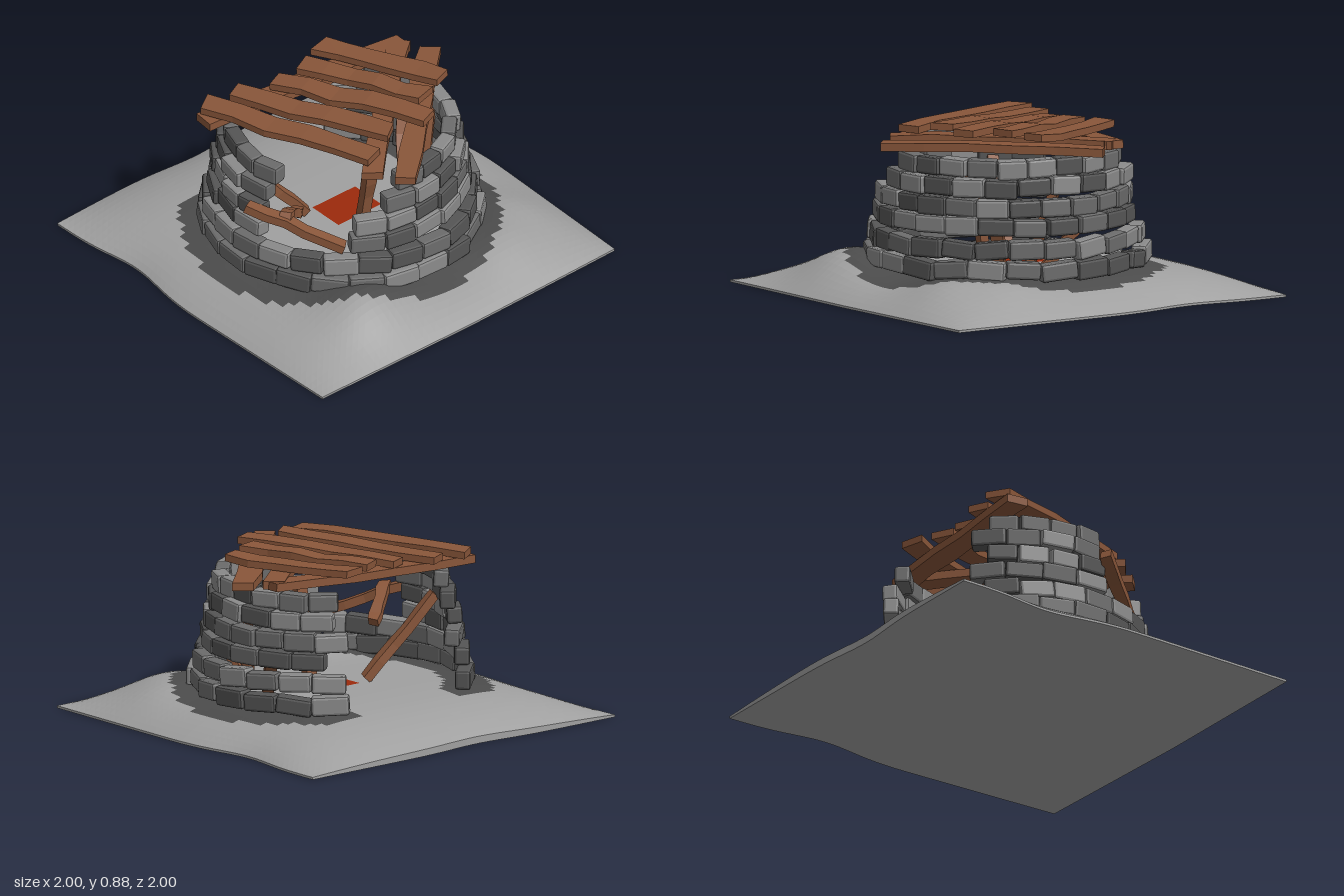
import * as THREE from 'three';
import { RoundedBoxGeometry } from 'three/addons/geometries/RoundedBoxGeometry.js';

const mat = (name, color) => {
  const m = new THREE.MeshStandardMaterial({ color, flatShading: true });
  m.name = name;
  return m;
};

// small seeded noise in -1..1
let seed = 7;
const rnd = () => {
  seed = (seed * 16807) % 2147483647;
  return (seed / 2147483647) * 2 - 1;
};
const bump = (x, z, cx, cz, w) => Math.exp(-((x - cx) ** 2 + (z - cz) ** 2) / (w * w));

// height of the earth mound: a flat floor, falling to the edges, with swells
function height(x, z) {
  const f = (u) => 1 - Math.pow(Math.abs(u), 4.2);
  const edge = 0.012 + 0.025 * Math.max(0, -z) ** 6 * (1 - x * x);
  const swell = 0.11 * bump(x, z, -0.42, 0.72, 0.25) + 0.045 * bump(x, z, 0.5, 0.74, 0.2)
    + 0.04 * bump(x, z, 0.74, 0.5, 0.2) - 0.02 * bump(x, z, 0.08, 0.74, 0.18);
  return edge + (0.148 + swell) * f(x) * f(z);
}

// square mound with dark footing under the wall and a red patch in the middle
function buildGround(mats) {
  const g = new THREE.Group();
  g.name = 'ground';
  const box = new THREE.BoxGeometry(2, 1, 2, 50, 1, 50);
  const p = box.attributes.position, cells = [[], [], []], idx = box.index.array;
  for (let i = 0; i < idx.length; i += 6) {
    const b = idx[i + 1], d = idx[i + 2];
    const x = (p.getX(b) + p.getX(d)) / 2, z = (p.getZ(b) + p.getZ(d)) / 2;
    const top = p.getY(b) + p.getY(d) > 0.9, r = Math.hypot(x, z);
    let k = 0;
    if (top && r > 0.56 && r < 0.8 && z > -0.62 && (z > -0.4 || Math.abs(x) > 0.31)) k = 1;
    if (top && x > -0.09 && x < 0.19 && z > -0.13 && z < 0.09) k = 2;
    cells[k].push(...idx.slice(i, i + 6));
  }
  for (let i = 0; i < p.count; i++) {
    const x = p.getX(i), z = p.getZ(i);
    const y = p.getY(i) > 0 ? height(x, z) : 0;
    // wavy outline
    const pinchX = 0.05 * bump(0, z, 0, -0.45, 0.25) + (z > 0 ? 0.03 * z : 0);
    const pinchZ = z < 0 ? 0.03 * bump(x, 0, -0.12, 0, 0.25) : 0.03 * Math.max(0, x);
    p.setXYZ(i, x * (1 - pinchX * Math.abs(x) ** 4), y, z * (1 - pinchZ * Math.abs(z) ** 4));
  }
  ['mound', 'wallFooting', 'redPatch'].forEach((name, k) => {
    const geo = new THREE.BufferGeometry();
    geo.setAttribute('position', p);
    geo.setIndex(cells[k]);
    geo.computeVertexNormals();
    const m = new THREE.Mesh(geo, mats[k]);
    m.name = name;
    g.add(m);
  });
  return g;
}

// horseshoe wall, open at the back and broken at the front right
function buildWall(mats) {
  const wall = new THREE.Group();
  wall.name = 'stoneWall';
  const rows = [ // centre height, outer radius, last angle, broken span in degrees
    [0.2, 0.71, 146], [0.3, 0.69, 145], [0.41, 0.655, 136, -78, -36], [0.505, 0.64, 146, -78, -34],
    [0.605, 0.62, 140, -78, -19], [0.697, 0.585, 142, -74, -11],
  ];
  const depth = 0.08, start = -144, pitch = 15.2;
  const radians = THREE.MathUtils.degToRad;
  // fills one run of a course with stones of equal spacing
  const course = (y, outer, from, to) => {
    const n = Math.round((to - from) / pitch), step = (to - from) / n;
    for (let i = 0; i < n; i++) {
      const a = radians(from + step * (i + 0.5));
      const w = radians(step) * outer * (0.97 + 0.05 * rnd());
      const geo = new RoundedBoxGeometry(w, 0.094 + 0.006 * rnd(), depth, 1, 0.014);
      const t = rnd();
      const b = new THREE.Mesh(geo, mats[t < -0.35 ? 0 : t < 0.4 ? 1 : 2]);
      b.name = 'stone';
      const r = outer - depth / 2 + 0.01 * rnd();
      b.position.set(Math.sin(a) * r, y + 0.006 * rnd(), Math.cos(a) * r);
      b.rotation.set(0.06 * rnd(), a + 0.08 * rnd(), (y < 0.35 ? 0.12 : 0.05) * rnd(), 'YXZ');
      wall.add(b);
    }
  };
  rows.forEach(([y, outer, end, g0, g1], row) => {
    const first = start + (row % 2 ? pitch / 2 : 0);
    if (g0 === undefined) course(y, outer, first, end);
    else {
      course(y, outer, first, g0);
      course(y, outer, g1, end);
    }
  });
  return wall;
}

// rough board between two points, with uneven sections and skewed ends
function plank(name, a, b, width, thick, material) {
  const from = new THREE.Vector3(...a), to = new THREE.Vector3(...b);
  const len = from.distanceTo(to), segs = 5;
  const geo = new THREE.BoxGeometry(width, thick, len, 1, 1, segs);
  const side = [], lift = [], wide = [];
  for (let i = 0; i <= segs; i++) {
    side.push(0.1 * width * rnd());
    lift.push(0.18 * thick * rnd());
    wide.push(1 + 0.12 * rnd());
  }
  const skew = [0.25 * rnd(), 0.25 * rnd()], p = geo.attributes.position;
  for (let i = 0; i < p.count; i++) {
    const k = Math.round((p.getZ(i) / len + 0.5) * segs), x = p.getX(i);
    const z = p.getZ(i) + (k === 0 ? skew[0] * x : k === segs ? skew[1] * x : 0);
    p.setXYZ(i, x * wide[k] + side[k], p.getY(i) + lift[k], z);
  }
  geo.computeVertexNormals();
  const m = new THREE.Mesh(geo, material);
  m.name = name;
  m.position.copy(from).add(to).multiplyScalar(0.5);
  m.lookAt(to);
  return m;
}

export function createModel() {
  const root = new THREE.Group();
  root.name = 'ruinedRoundHut';
  const earth = mat('earthGrey', 0xa0a0a0), footing = mat('footingGrey', 0x4c4c4c);
  const red = mat('emberRed', 0x9c2a0c), wood = mat('wood', 0x89563a);
  const stones = [mat('stoneDark', 0x555555), mat('stoneMid', 0x6c6c6c), mat('stoneLight', 0x8a8a8a)];

  root.add(buildGround([earth, footing, red]), buildWall(stones));

  const roof = new THREE.Group();
  roof.name = 'roof';
  // supporting boards resting on the wall
  [
    [[-0.58, 0.775, -0.38], [0.61, 0.785, -0.23]],
    [[-0.14, 0.772, 0.66], [0.68, 0.778, -0.12]],
    [[-0.25, 0.785, 0.53], [0.59, 0.79, -0.24]],
  ].forEach(([a, b]) => roof.add(plank('roofBeam', a, b, 0.115, 0.042, wood)));
  // slanting boards across the top
  [
    [[-0.52, 0.815, -0.44], [-0.18, 0.835, 0.47]],
    [[-0.33, 0.815, -0.43], [0, 0.85, 0.39]],
    [[-0.11, 0.82, -0.37], [0.22, 0.86, 0.42]],
    [[0.06, 0.83, -0.37], [0.34, 0.855, 0.26]],
    [[0.24, 0.83, -0.44], [0.51, 0.85, 0.19]],
  ].forEach(([a, b]) => roof.add(plank('roofBoard', a, b, 0.12, 0.036, wood)));
  root.add(roof);

  // fallen boards leaning in the gap and inside
  const fallen = new THREE.Group();
  fallen.name = 'fallenBoards';
  [
    [[-0.69, 0.56, 0.09], [-0.38, 0.38, 0.48]],
    [[-0.57, 0.53, 0.24], [-0.36, 0.38, 0.1]],
    [[-0.47, 0.58, -0.24], [-0.14, 0.17, -0.1]],
    [[0.02, 0.16, 0.14], [0.01, 0.64, 0.24]],
    [[0.38, 0.16, 0.04], [0.55, 0.5, -0.18]],
    [[0.41, 0.16, 0.16], [0.53, 0.63, 0.06]],
    [[0.36, 0.17, 0.29], [0.44, 0.52, 0.38]],
  ].forEach(([a, b]) => fallen.add(plank('fallenBoard', a, b, 0.06, 0.045, wood)));
  root.add(fallen);
  return root;
}
